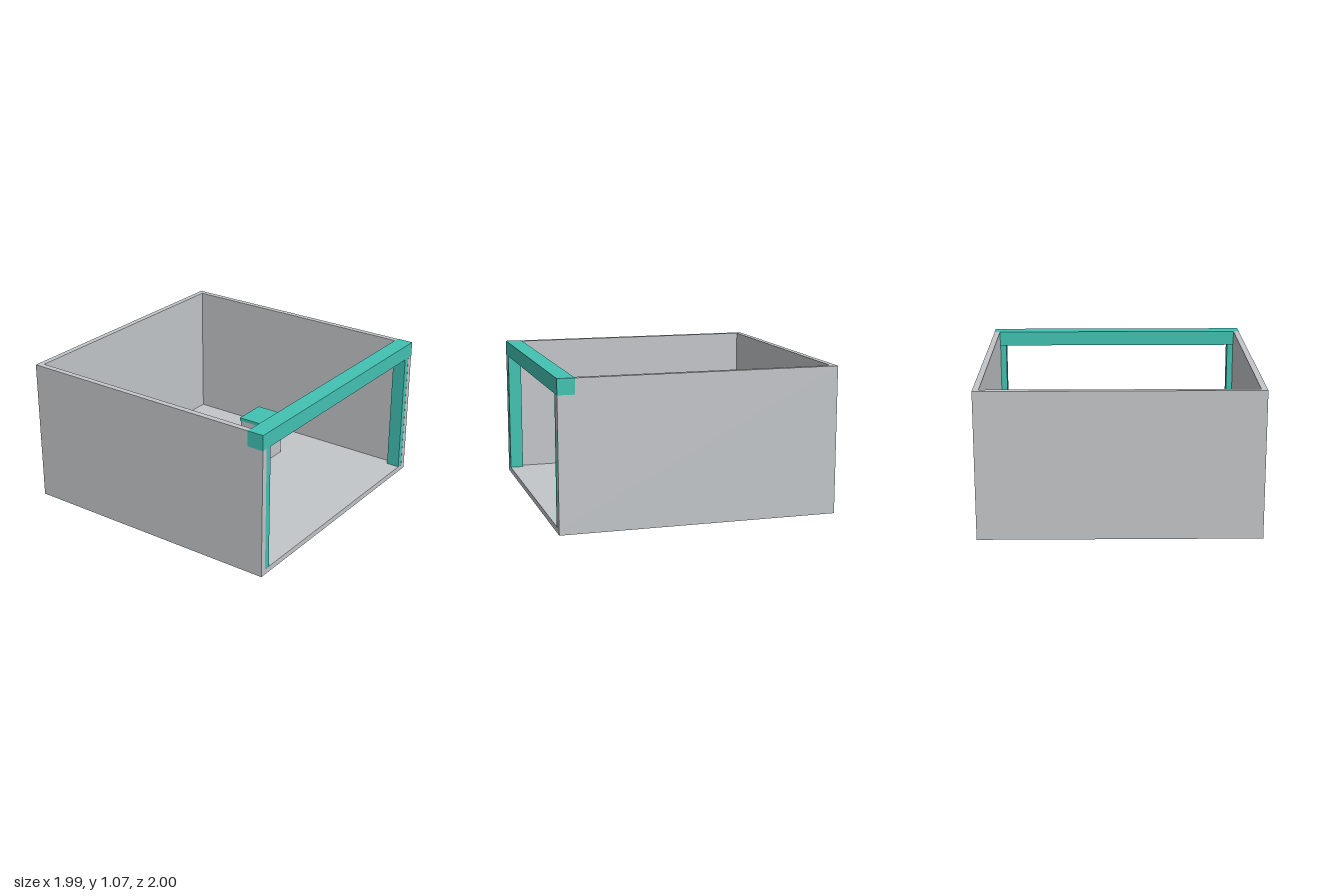
import * as THREE from 'three';

export function createModel() {
  const model = new THREE.Group();
  model.name = 'openRoom';
  const grey = new THREE.MeshStandardMaterial({ name: 'concreteGrey', color: 0xc3c6c9 });
  const teal = new THREE.MeshStandardMaterial({ name: 'tealTrim', color: 0x42c2b3 });

  // Box given by its lower and upper corners
  function box(name, material, [x0, y0, z0], [x1, y1, z1], parent = model) {
    const mesh = new THREE.Mesh(new THREE.BoxGeometry(x1 - x0, y1 - y0, z1 - z0), material);
    mesh.position.set((x0 + x1) / 2, (y0 + y1) / 2, (z0 + z1) / 2);
    mesh.name = name;
    parent.add(mesh);
    return mesh;
  }

  const W = 0.995, H = 1.064, T = 0.043, floorTop = 0.04;

  // Shell: floor, back wall and two side walls, open at the front and top
  box('floor', grey, [-W, 0, -1], [W, floorTop, 1]);
  box('backWall', grey, [-W + T, floorTop, -1], [W - T, H, -1 + T]);
  for (const [side, s] of [['left', 1], ['right', -1]]) {
    const inner = s * (W - T), outer = s * W;
    box(side + 'Wall', grey, [Math.min(inner, outer), floorTop, -1], [Math.max(inner, outer), H, 1]);
    // Door post against the inside of the wall
    const a = s * 0.905, b = s * (W - T + 0.002);
    box(side + 'Post', teal, [Math.min(a, b), floorTop, 0.9], [Math.max(a, b), 0.96, 0.999]);
  }

  // Lintel, a hair proud of the walls
  box('frontBeam', teal, [-W - 0.001, 0.953, 0.878], [W + 0.001, H + 0.001, 1.001]);

  // Row of three pedestals with overhanging tops
  [-0.46, -0.002, 0.456].forEach((x, i) => {
    const pedestal = new THREE.Group();
    pedestal.name = 'pedestal' + (i + 1);
    pedestal.position.set(x, 0, -0.006);
    box('pedestalBase', grey, [-0.126, floorTop, -0.108], [0.126, 0.355, 0.108], pedestal);
    box('pedestalTop', teal, [-0.131, 0.355, -0.113], [0.131, 0.38, 0.113], pedestal);
    model.add(pedestal);
  });

  return model;
}
